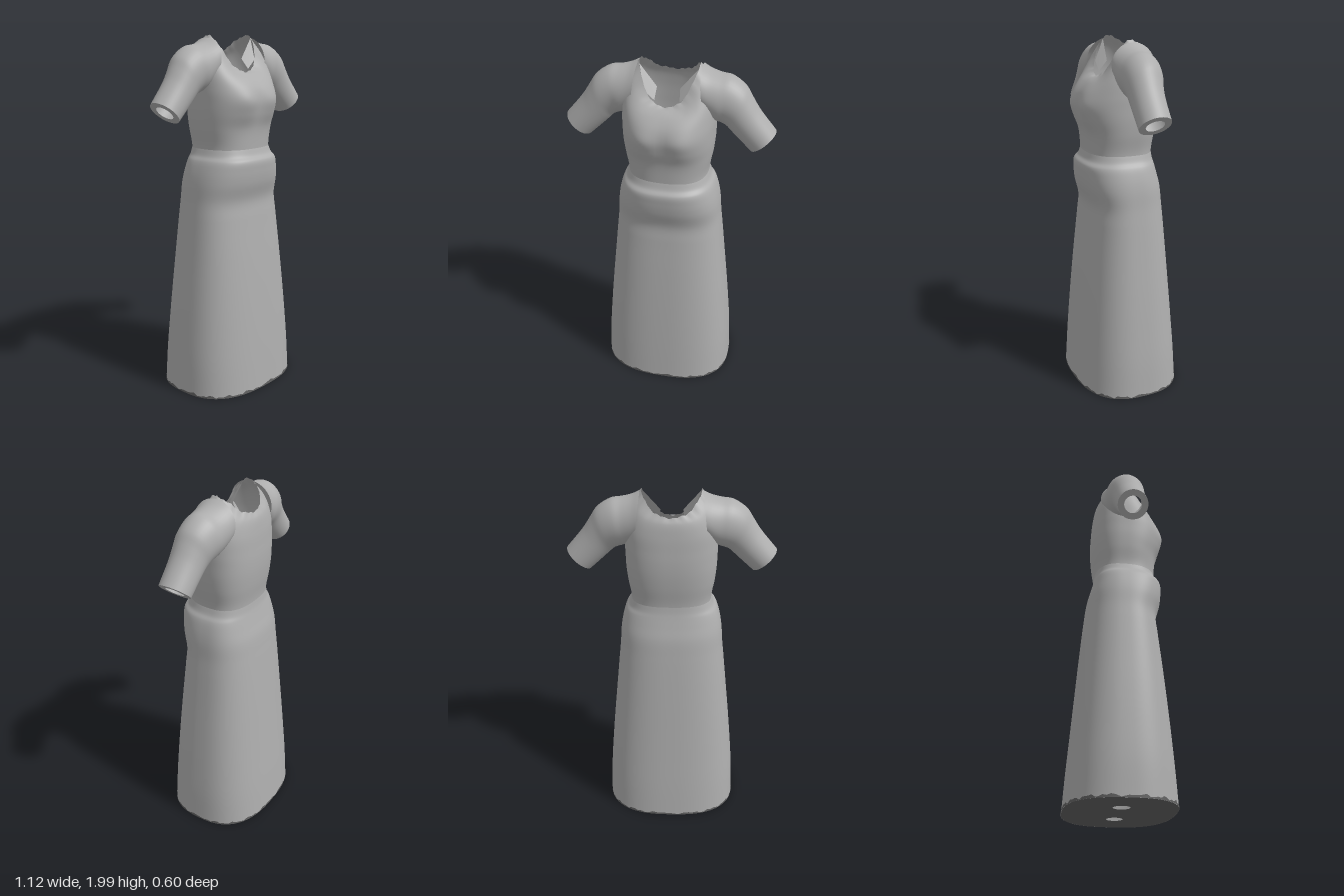
import * as THREE from 'three';

const SIDES = 96;

// One outline around the body: half width, front and back depth, heights at side, front and back
function bodyRing(w, front, back, ySide, yFront = ySide, yBack = ySide, n = 2.6) {
  const ring = [];
  for (let i = 0; i < SIDES; i++) {
    const a = (i / SIDES) * Math.PI * 2, c = Math.cos(a), s = Math.sin(a);
    const x = w * Math.sign(c) * Math.abs(c) ** (2 / n);
    let z = (s > 0 ? front : -back) * Math.sign(s) * Math.abs(s) ** (2 / n);
    const y = THREE.MathUtils.lerp(s > 0 ? yFront : yBack, ySide, Math.abs(c) ** 2.6);
    // Bust fullness on either side of the centre line
    if (s > 0) z += 0.022 * Math.exp(-(((Math.abs(x) - 0.1) / 0.08) ** 2) - ((y - 1.64) / 0.08) ** 2);
    ring.push(new THREE.Vector3(x, y, z));
  }
  return ring;
}

// Smooth skin through a list of outlines
function loft(rings, steps) {
  const n = rings[0].length, pos = [], idx = [];
  const columns = rings[0].map((_, i) => new THREE.CatmullRomCurve3(rings.map((r) => r[i])));
  for (let j = 0; j <= steps; j++) {
    for (const column of columns) pos.push(...column.getPoint(j / steps).toArray());
  }
  for (let j = 0; j < steps; j++) {
    for (let i = 0; i < n; i++) {
      const a = j * n + i, b = j * n + ((i + 1) % n);
      idx.push(a, a + n, b, b, a + n, b + n);
    }
  }
  const g = new THREE.BufferGeometry();
  g.setAttribute('position', new THREE.Float32BufferAttribute(pos, 3));
  g.setIndex(idx);
  g.computeVertexNormals();
  return g;
}

// Sleeve outline from its upper and lower edge points
function sleeveRing([tx, ty, bx, by, rz, cz], scale = 1) {
  const ring = [];
  for (let i = 0; i < 40; i++) {
    const a = (i / 40) * Math.PI * 2, c = Math.cos(a) * scale;
    ring.push(new THREE.Vector3(
      (tx + bx) / 2 + ((tx - bx) / 2) * c,
      (ty + by) / 2 + ((ty - by) / 2) * c,
      cz - rz * scale * Math.sin(a)));
  }
  return ring;
}

function material(name, color) {
  const m = new THREE.MeshStandardMaterial({ color, side: THREE.DoubleSide });
  m.name = name;
  return m;
}

export function createModel() {
  const model = new THREE.Group();
  const cloth = material('light grey cloth', 0xaeaeae);
  const lining = material('dark grey lining', 0x626262);
  const add = (name, geometry, mat = cloth, parent = model) => {
    const mesh = new THREE.Mesh(geometry, mat);
    mesh.name = name;
    parent.add(mesh);
  };

  // Long flared skirt, drawn in softly at the waist
  const hem = bodyRing(0.385, 0.3, -0.3, 0);
  add('skirt', loft([
    hem,
    bodyRing(0.377, 0.287, -0.286, 0.2),
    bodyRing(0.361, 0.272, -0.269, 0.4),
    bodyRing(0.342, 0.255, -0.252, 0.6),
    bodyRing(0.321, 0.236, -0.235, 0.8),
    bodyRing(0.3, 0.215, -0.217, 1.0),
    bodyRing(0.289, 0.207, -0.207, 1.1),
    bodyRing(0.281, 0.232, -0.195, 1.2),
    bodyRing(0.268, 0.241, -0.177, 1.27),
    bodyRing(0.25, 0.24, -0.163, 1.325),
    bodyRing(0.231, 0.218, -0.157, 1.352),
    bodyRing(0.217, 0.204, -0.152, 1.39),
  ], 66));

  // Ragged dark edge just outside the hem
  const edge = hem.map((p) => new THREE.Vector3(p.x * 1.004, 0, p.z * 1.004));
  const raggedTop = edge.map((p, i) => {
    const height = 0.012 + 0.01 * Math.sin(i * 1.7) * Math.sin(i * 0.6);
    return new THREE.Vector3(p.x, height, p.z);
  });
  add('hemEdge', loft([edge, raggedTop], 1), lining);

  // Flat dark underside with two leg openings
  const base = new THREE.Shape(hem.map((p) => new THREE.Vector2(p.x, p.z)));
  for (const side of [-1, 1]) {
    base.holes.push(new THREE.Path().absellipse(side * 0.15, -0.005, 0.045, 0.045, 0, Math.PI * 2, true));
  }
  add('skirtBase', new THREE.ShapeGeometry(base, 20).rotateX(Math.PI / 2), lining);

  // Fitted bodice, rising to a scooped neckline with a slightly torn edge
  const neckline = bodyRing(0.155, 0.132, -0.135, 1.99, 1.8, 1.89, 2.1);
  neckline.forEach((p, i) => { p.y += 0.006 * Math.sin(i * 1.1) * Math.sin(i * 0.45); });
  add('bodice', loft([
    bodyRing(0.222, 0.205, -0.15, 1.31),
    bodyRing(0.218, 0.205, -0.153, 1.4),
    bodyRing(0.234, 0.212, -0.167, 1.5),
    bodyRing(0.242, 0.23, -0.174, 1.58),
    bodyRing(0.244, 0.237, -0.175, 1.65),
    bodyRing(0.245, 0.226, -0.172, 1.71),
    bodyRing(0.238, 0.19, -0.166, 1.82, 1.765, 1.79),
    bodyRing(0.208, 0.158, -0.153, 1.92, 1.79, 1.86, 2.4),
    neckline,
  ], 48));

  // Sleeves: upper x, y, lower x, y, depth radius, z centre
  const path = [
    [0.163, 1.98, 0.19, 1.74, 0.124, -0.008],
    [0.205, 1.96, 0.22, 1.715, 0.12, -0.004],
    [0.26, 1.946, 0.25, 1.695, 0.115, 0],
    [0.315, 1.938, 0.272, 1.688, 0.11, 0],
    [0.388, 1.89, 0.298, 1.675, 0.102, 0.005],
    [0.425, 1.835, 0.322, 1.652, 0.094, 0.01],
    [0.467, 1.77, 0.36, 1.615, 0.089, 0.013],
    [0.558, 1.66, 0.432, 1.547, 0.086, 0.016],
  ];
  const cuff = path[path.length - 1];

  // Small torn flap folded inside the front of the collar
  const flap = new THREE.BufferGeometry();
  flap.setAttribute('position', new THREE.Float32BufferAttribute([
    0.152, 1.975, 0.03, 0.06, 1.865, 0.045, 0.065, 1.81, 0.09, 0.12, 1.86, 0.09,
  ], 3));
  flap.setIndex([0, 1, 2, 0, 2, 3]);
  flap.computeVertexNormals();

  for (const side of [1, -1]) {
    const shoulder = new THREE.Group();
    shoulder.name = side > 0 ? 'leftShoulder' : 'rightShoulder';
    shoulder.scale.x = side;
    add('sleeve', loft(path.map((p) => sleeveRing(p)), 28), cloth, shoulder);
    add('cuffEdge', loft([sleeveRing(cuff), sleeveRing(cuff, 0.58)], 1), cloth, shoulder);
    add('collarFlap', flap, cloth, shoulder);
    model.add(shoulder);
  }
  return model;
}
